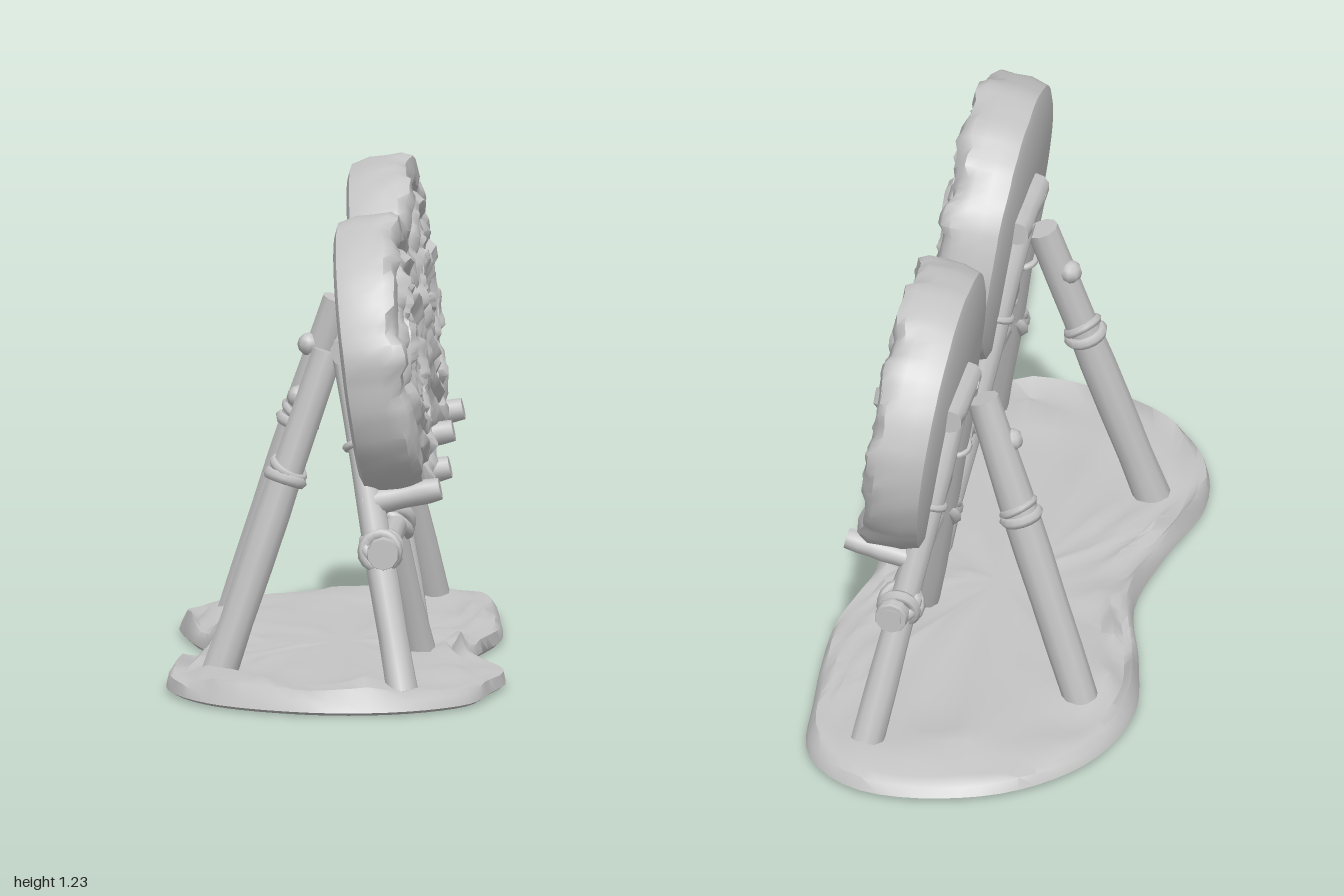
import * as THREE from 'three';
import { mergeVertices, toCreasedNormals } from 'three/addons/utils/BufferGeometryUtils.js';

const stone = new THREE.MeshStandardMaterial({ color: 0xc4c4c4 });
stone.name = 'plain grey';

const V = (x, y, z) => new THREE.Vector3(x, y, z);

// Repeatable pseudo-random value from 0 to 1 for a pair of whole numbers
function hash(i, j) {
  const s = Math.sin(i * 127.1 + j * 311.7) * 43758.5453;
  return s - Math.floor(s);
}

function add(group, geometry, name) {
  const mesh = new THREE.Mesh(geometry, stone);
  mesh.name = name;
  group.add(mesh);
  return mesh;
}

// Wooden pole between two points, slightly uneven along its length
function pole(group, name, a, b, r0, r1, seed = 1) {
  const length = a.distanceTo(b);
  const g = new THREE.CylinderGeometry(r1, r0, length, 10, 6);
  const p = g.attributes.position;
  for (let i = 0; i < p.count; i++) {
    const row = Math.round((p.getY(i) / length + 0.5) * 6);
    const k = 0.92 + 0.14 * hash(row, seed);
    p.setX(i, p.getX(i) * k);
    p.setZ(i, p.getZ(i) * k);
  }
  const mesh = add(group, toCreasedNormals(g, 0.9), name);
  mesh.position.copy(a).lerp(b, 0.5);
  mesh.quaternion.setFromUnitVectors(V(0, 1, 0), b.clone().sub(a).normalize());
}

// Rope turns around a point, facing along an axis
function lashing(group, at, axis, radius, thick = 0.016) {
  const mesh = add(group, new THREE.TorusGeometry(radius, thick, 6, 16), 'ropeLashing');
  mesh.position.copy(at);
  mesh.quaternion.setFromUnitVectors(V(0, 0, 1), axis.clone().normalize());
}

// Straw disc: a lathe whose front ridges are broken into uneven bindings
function targetGeometry(seed) {
  const profile = [
    // radius, height along the axis, roughness
    [0, -0.085, 0], [0.33, -0.085, 0], [0.355, -0.075, 0.006], [0.367, -0.03, 0.01],
    [0.367, 0.015, 0.012], [0.367, 0.045, 0.018], [0.352, 0.068, 0.022], [0.318, 0.078, 0.022],
    [0.29, 0.07, 0.016], [0.28, 0.052, 0.006], [0.265, 0.072, 0.016], [0.24, 0.086, 0.022],
    [0.22, 0.08, 0.018], [0.208, 0.058, 0.006], [0.195, 0.078, 0.018], [0.17, 0.092, 0.022],
    [0.145, 0.08, 0.02], [0.13, 0.06, 0.008], [0.112, 0.08, 0.018], [0.09, 0.084, 0.018],
    [0.06, 0.07, 0.01], [0.03, 0.074, 0.005], [0, 0.076, 0],
  ];
  const segments = 84;
  const g = new THREE.LatheGeometry(profile.map(q => new THREE.Vector2(q[0], q[1])), segments);
  const p = g.attributes.position;
  for (let i = 0; i < p.count; i++) {
    const row = i % profile.length;
    const col = Math.floor(i / profile.length) % segments;
    const [r, h, rough] = profile[row];
    const band = row < 10 ? 0 : row < 14 ? 1 : row < 18 ? 2 : 3;
    const step = [3, 3, 4, 6][band];
    const lump = hash(Math.floor(col / step), band * 5 + seed) - 0.5;
    const fine = hash(Math.floor(col / 2), row + seed * 9) - 0.5;
    const front = row > 4 ? 1 : 0.2;
    const rr = r + rough * (lump * 0.7 + fine * 0.35);
    const a = (col / segments) * Math.PI * 2;
    p.setXYZ(i, Math.sin(a) * rr, h + front * rough * (lump * 1.1 + fine * 0.5), Math.cos(a) * rr);
  }
  g.deleteAttribute('uv');
  g.deleteAttribute('normal');
  return toCreasedNormals(mergeVertices(g, 1e-4), 0.8).rotateZ(-Math.PI / 2);
}

// Target with its tripod; s mirrors the stand along z
function targetStand(name, s, seed) {
  const stand = new THREE.Group();
  stand.name = name;

  const disc = add(stand, targetGeometry(seed), 'strawTarget');
  disc.position.set(0.13, 0.84, 0);
  disc.rotation.z = 0.125;

  // Front legs with target pegs and rope
  for (const side of [-1, 1]) {
    const foot = V(0.198, 0.035, side * 0.345), top = V(0.03, 0.88, side * 0.065);
    const dir = top.clone().sub(foot);
    const on = y => foot.clone().addScaledVector(dir, (y - foot.y) / dir.y);
    pole(stand, 'frontLeg', foot, top, 0.041, 0.034, seed + side);
    pole(stand, 'targetPeg', V(0.09, 0.495, side * 0.19), V(0.283, 0.538, side * 0.19), 0.033, 0.03, seed + 4);
    const joint = on(0.387).add(V(0.006, 0, 0));
    lashing(stand, joint, V(0.5, 0.8, side * 0.5), 0.046);
    lashing(stand, joint, V(-0.3, 0.6, side * 0.9), 0.046);
    lashing(stand, V(0.135, 0.387, side * 0.255), V(0, 0.2, 1), 0.042);
    lashing(stand, on(0.64), dir, 0.037, 0.01);
    pole(stand, 'crossBarEnd', V(0.145, 0.385, side * 0.27), V(0.145, 0.385, side * 0.308), 0.042, 0.039, seed);
  }
  pole(stand, 'crossBar', V(0.145, 0.385, -0.31), V(0.145, 0.385, 0.31), 0.03, 0.033, seed + 2);

  // Back leg, with a knot and a rope band
  const foot = V(-0.289, 0.035, s * 0.032), top = V(-0.018, 0.85, s * -0.045);
  const dir = top.clone().sub(foot);
  pole(stand, 'backLeg', foot, top, 0.047, 0.044, seed + 3);
  const bandAt = foot.clone().lerp(top, 0.61);
  lashing(stand, bandAt, dir, 0.042);
  lashing(stand, bandAt.clone().addScaledVector(dir, 0.03), V(0.5, 0.8, 0.2), 0.042, 0.012);
  const knot = add(stand, new THREE.SphereGeometry(0.03, 8, 6), 'woodKnot');
  knot.position.copy(foot).lerp(top, 0.85).add(V(-0.033, 0.006, s * -0.015));

  // Short bar joining the legs behind the target
  pole(stand, 'topBar', V(0.033, 0.873, -0.12), V(0.033, 0.873, 0.12), 0.034, 0.034, seed + 5);
  return stand;
}

// Uneven ground slab made of shrinking copies of one outline
function groundGeometry() {
  const outline = [
    [0.05, -1], [-0.2, -0.93], [-0.38, -0.75], [-0.45, -0.5], [-0.41, -0.25], [-0.345, 0],
    [-0.37, 0.25], [-0.42, 0.5], [-0.38, 0.7], [-0.25, 0.88], [0, 0.99], [0.2, 0.96],
    [0.36, 0.82], [0.41, 0.6], [0.435, 0.42], [0.36, 0.2], [0.33, 0], [0.375, -0.3],
    [0.355, -0.6], [0.315, -0.85], [0.2, -0.97],
  ];
  const curve = new THREE.CatmullRomCurve3(outline.map(q => V(q[0], 0, q[1])), true);
  const n = 96;
  const edge = curve.getSpacedPoints(n).slice(0, n);
  // scale, height, roughness
  const rings = [
    [0, 0.004, 0], [0.97, 0.002, 0], [1, 0.012, 0], [0.985, 0.034, 0.01], [0.95, 0.05, 0.022],
    [0.89, 0.05, 0.03], [0.82, 0.05, 0.026], [0.73, 0.05, 0.02], [0.6, 0.05, 0.016],
    [0.45, 0.052, 0.01], [0.25, 0.053, 0.006], [0, 0.053, 0],
  ];
  const positions = [], index = [];
  rings.forEach(([k, y, rough], j) => {
    edge.forEach((e, i) => {
      const c = Math.floor(i / 3), f = (i % 3) / 3;
      const bump = THREE.MathUtils.lerp(hash(c, j), hash((c + 1) % (n / 3), j), f);
      positions.push(e.x * k, y + rough * (bump * bump * 1.6 - 0.3), e.z * k);
      if (j === 0) return;
      const a = (j - 1) * n + i, b = (j - 1) * n + (i + 1) % n;
      index.push(a, b, a + n, b, b + n, a + n);
    });
  });
  const g = new THREE.BufferGeometry();
  g.setAttribute('position', new THREE.Float32BufferAttribute(positions, 3));
  g.setIndex(index);
  return toCreasedNormals(g, 0.9);
}

export function createModel() {
  const model = new THREE.Group();
  model.name = 'archeryTargets';
  add(model, groundGeometry(), 'groundSlab');

  const near = targetStand('frontTarget', 1, 2);
  near.position.set(0, 0, 0.457);
  const far = targetStand('rearTarget', -1, 7);
  far.position.set(-0.027, 0.013, -0.472);
  model.add(near, far);
  return model;
}
